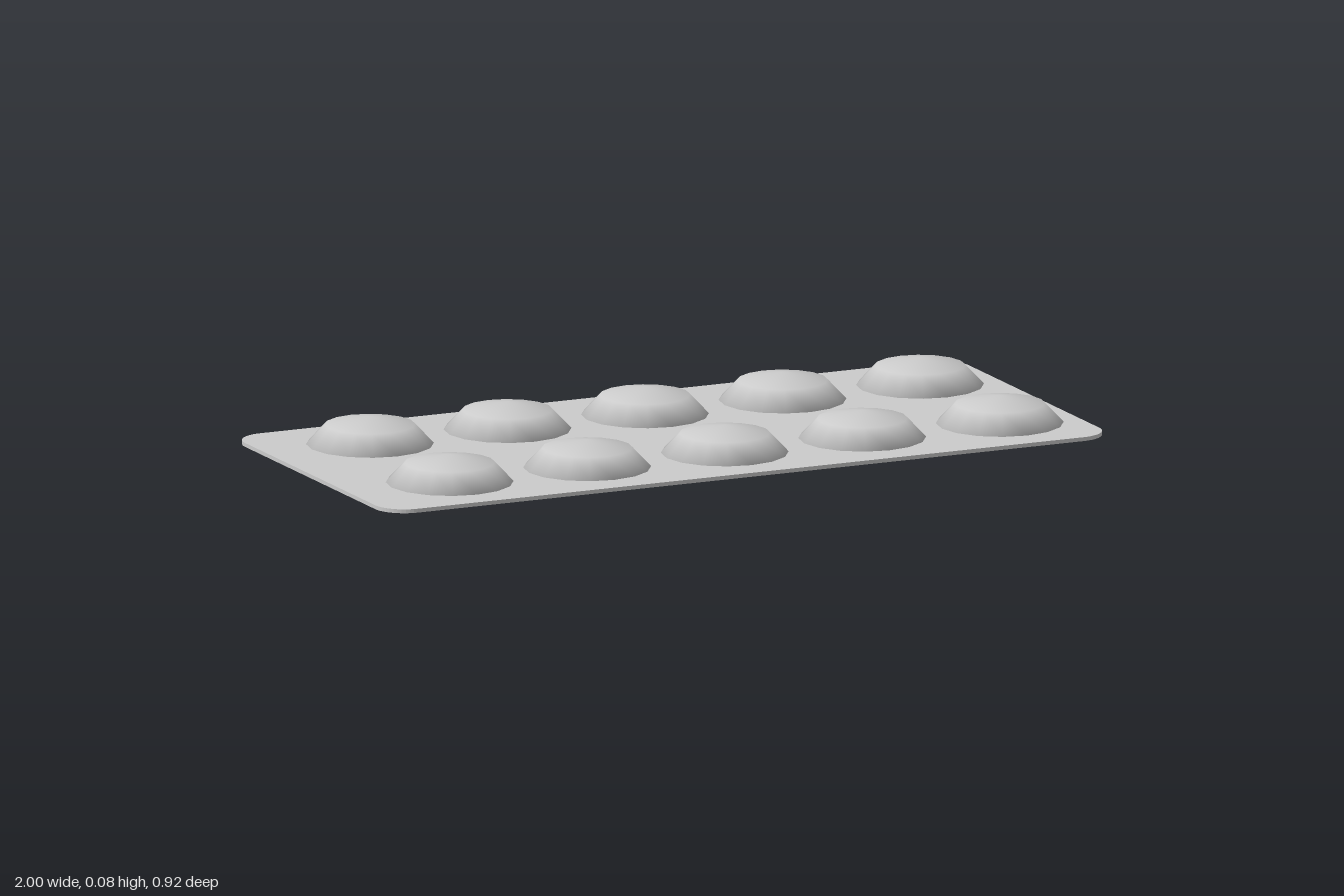
import * as THREE from 'three';

const WIDTH = 2, DEPTH = 0.92, THICKNESS = 0.01, CORNER = 0.08;

// Flat card with rounded corners, lying on the ground
function cardGeometry() {
  const x = WIDTH / 2, z = DEPTH / 2, r = CORNER;
  const shape = new THREE.Shape();
  shape.absarc(x - r, z - r, r, 0, Math.PI / 2);
  shape.absarc(r - x, z - r, r, Math.PI / 2, Math.PI);
  shape.absarc(r - x, r - z, r, Math.PI, Math.PI * 1.5);
  shape.absarc(x - r, r - z, r, Math.PI * 1.5, Math.PI * 2);
  shape.closePath();
  const geometry = new THREE.ExtrudeGeometry(shape, { depth: THICKNESS, bevelEnabled: false, curveSegments: 6 });
  return geometry.rotateX(-Math.PI / 2);
}

export function createModel() {
  const group = new THREE.Group();
  group.name = 'blisterPack';
  const material = new THREE.MeshStandardMaterial({ color: 0xcccccc });

  const card = new THREE.Mesh(cardGeometry(), material);
  card.name = 'backingCard';
  group.add(card);

  // Flattened half-sphere blisters, two rows of five, offset towards +x
  const dome = new THREE.SphereGeometry(0.16, 16, 2, 0, Math.PI * 2, 0, Math.PI / 2);
  dome.scale(1, 0.07 / 0.16, 1);
  const blisters = new THREE.Group();
  blisters.name = 'blisters';
  for (const z of [-0.242, 0.223]) {
    for (let i = 0; i < 5; i++) {
      const blister = new THREE.Mesh(dome, material);
      blister.name = 'blister';
      blister.position.set(-0.72 + i * 0.38, THICKNESS, z);
      blisters.add(blister);
    }
  }
  group.add(blisters);
  return group;
}
